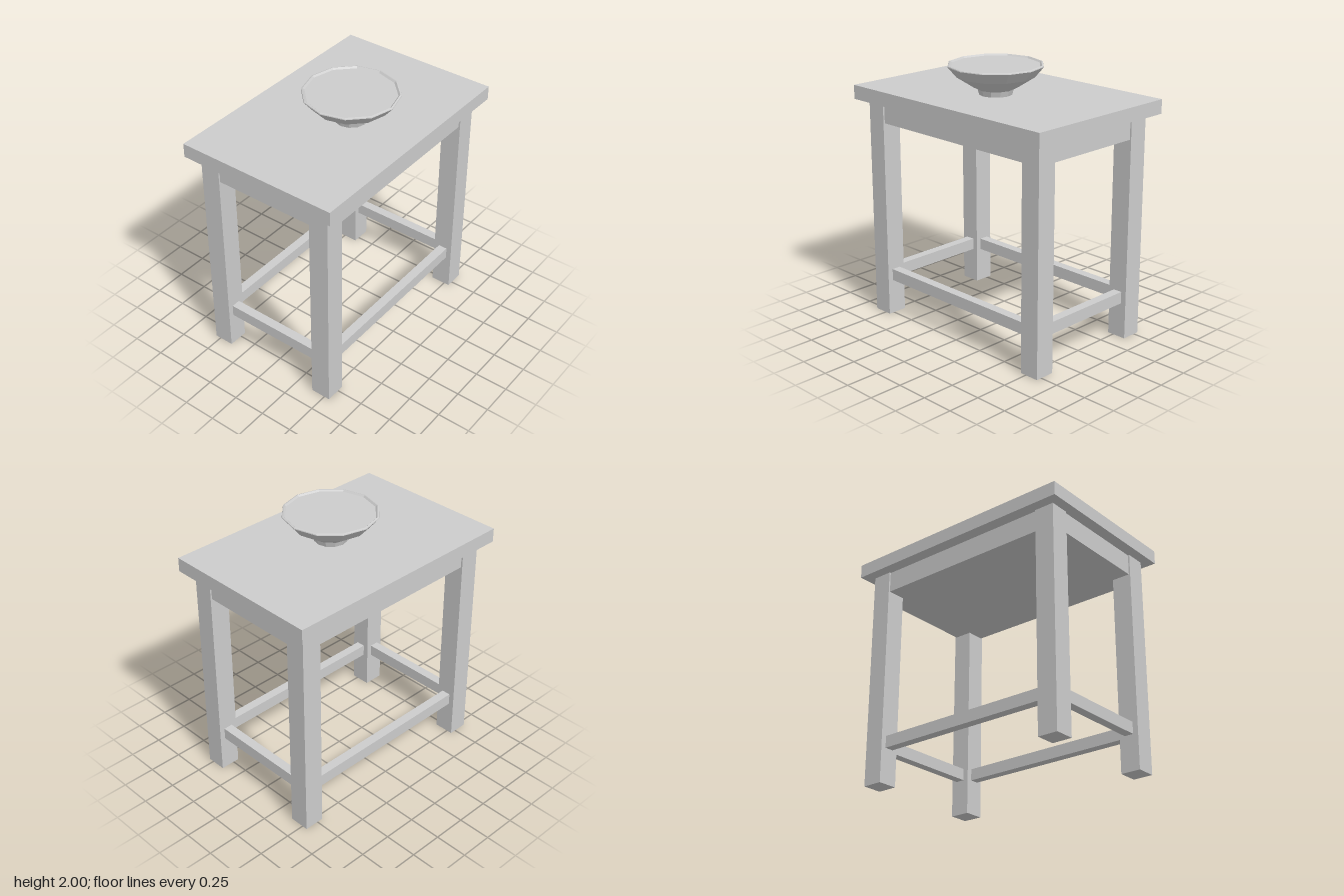
import * as THREE from 'three';

export function createModel() {
  const model = new THREE.Group();
  model.name = 'tableWithBowl';

  const grey = new THREE.MeshStandardMaterial({ color: 0xcccccc, flatShading: true });
  grey.name = 'plain grey';

  const add = (name, geometry, x, y, z) => {
    const mesh = new THREE.Mesh(geometry, grey);
    mesh.name = name;
    mesh.position.set(x, y, z);
    model.add(mesh);
    return mesh;
  };
  // Box given by its size and its lower and upper height
  const block = (name, w, d, y0, y1, x = 0, z = 0) =>
    add(name, new THREE.BoxGeometry(w, y1 - y0, d), x, (y0 + y1) / 2, z);

  // Table top and the solid apron block beneath it
  block('tableTop', 1.864, 1.244, 1.674, 1.779);
  block('apron', 1.69, 1.06, 1.514, 1.674);

  // Legs and stretchers, mirrored about the centre
  const legX = 0.78, legZ = 0.466, legSize = 0.153;
  for (const s of [1, -1]) {
    const side = s > 0 ? 'left' : 'right';
    const end = s > 0 ? 'front' : 'back';
    block(side + 'FrontLeg', legSize, legSize, 0, 1.674, s * legX, legZ);
    block(side + 'BackLeg', legSize, legSize, 0, 1.674, s * legX, -legZ);
    block(side + 'Stretcher', 0.07, 2 * legZ - legSize, 0.268, 0.358, s * legX, 0);
    block(end + 'Stretcher', 2 * legX - legSize, 0.07, 0.268, 0.358, 0, s * legZ);
  }

  // Twelve-sided bowl: foot, two-step wall, ridged rim and level contents
  const bowlProfile = [
    [0, 1.779], [0.12, 1.779], [0.132, 1.82], [0.16, 1.834], [0.285, 1.915],
    [0.348, 1.99], [0.346, 1.996], [0.335, 2], [0.323, 1.988],
  ].map(([r, y]) => new THREE.Vector2(r, y));
  add('bowl', new THREE.LatheGeometry(bowlProfile, 12), 0, 0, 0.085);

  const contents = new THREE.CircleGeometry(0.323, 12).rotateX(-Math.PI / 2);
  add('bowlContents', contents, 0, 1.988, 0.085);

  return model;
}
